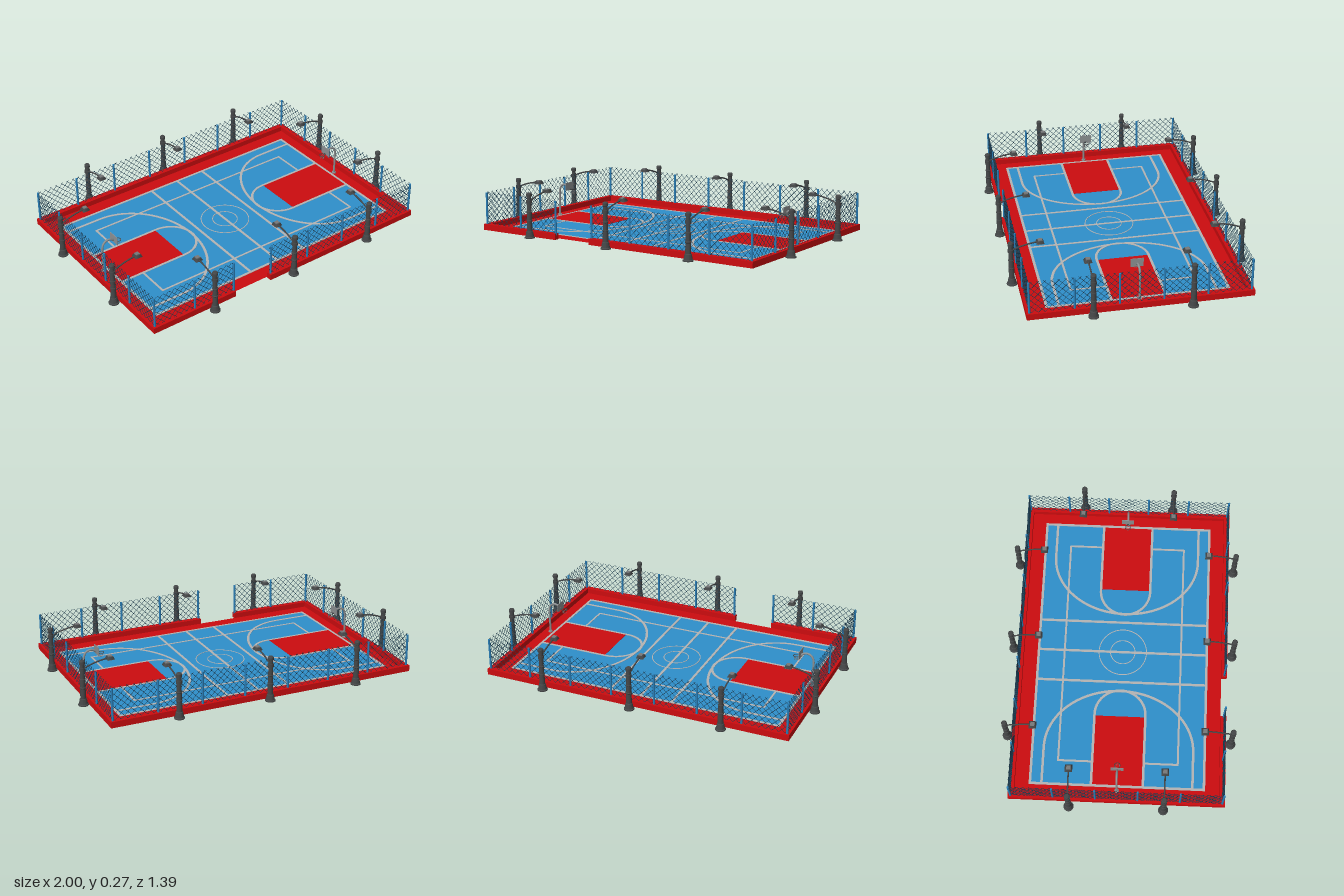
import * as THREE from 'three';
import { mergeGeometries } from 'three/addons/utils/BufferGeometryUtils.js';

const mat = (color) => new THREE.MeshStandardMaterial({ color, side: THREE.DoubleSide });
const RED = mat(0xcc0c0f), BLUE = mat(0x2e8fcb), LINE = mat(0xb4b4b4), POST = mat(0x2a7fb8);
const WIRE = mat(0x1d3f55), IRON = mat(0x454748), IRON_LIGHT = mat(0x77797a), STEEL = mat(0x8c9092);

const FLOOR = 0.006, FX = 0.925, FZ = 0.62;   // floor level, fence half sizes
const GATE = [-0.39, -0.145];                 // opening in the front side

function add(parent, name, geo, material, x = 0, y = 0, z = 0) {
  const m = new THREE.Mesh(geo, material);
  m.name = name;
  m.position.set(x, y, z);
  parent.add(m);
  return m;
}

// Straight rod between two points
function rod(a, b, r, sides = 4) {
  const d = b.clone().sub(a);
  const g = new THREE.CylinderGeometry(r, r, d.length(), sides, 1, true);
  g.applyQuaternion(new THREE.Quaternion().setFromUnitVectors(new THREE.Vector3(0, 1, 0), d.normalize()));
  return g.translate((a.x + b.x) / 2, (a.y + b.y) / 2, (a.z + b.z) / 2);
}

// Flat painted strip along [x, z] points, showing on both sides of the floor
function strip(pts, width) {
  const left = [], right = [];
  pts.forEach((p, i) => {
    const a = pts[Math.max(i - 1, 0)], b = pts[Math.min(i + 1, pts.length - 1)];
    const l = Math.hypot(b[0] - a[0], b[1] - a[1]);
    const nx = -(b[1] - a[1]) / l * width / 2, ny = (b[0] - a[0]) / l * width / 2;
    left.push(new THREE.Vector2(p[0] + nx, p[1] + ny));
    right.unshift(new THREE.Vector2(p[0] - nx, p[1] - ny));
  });
  const g = new THREE.ExtrudeGeometry(new THREE.Shape([...left, ...right]), { depth: 0.004, bevelEnabled: false });
  return g.rotateX(-Math.PI / 2).translate(0, FLOOR - 0.002, 0);
}

function arc(cx, rx, rz, from, to, n = 40) {
  return Array.from({ length: n + 1 }, (_, i) => {
    const t = from + (to - from) * i / n;
    return [cx + rx * Math.cos(t), rz * Math.sin(t)];
  });
}

function createCourt() {
  const court = new THREE.Group();
  court.name = 'court';
  // Red margin around the blue playing field
  const rect = (C, x, z) => new C([[-x, -z], [x, -z], [x, z], [-x, z]].map(p => new THREE.Vector2(...p)));
  const margin = rect(THREE.Shape, 0.912, 0.603);
  margin.holes.push(rect(THREE.Path, 0.84, 0.512));
  add(court, 'courtMargin', new THREE.ShapeGeometry(margin).rotateX(-Math.PI / 2), RED, 0, FLOOR);
  add(court, 'playingField', new THREE.PlaneGeometry(1.68, 1.024).rotateX(-Math.PI / 2), BLUE, 0, FLOOR);

  const lines = [];
  const w = 0.015, H = Math.PI / 2;
  for (const s of [-1, 1]) {
    add(court, 'keyArea', new THREE.BoxGeometry(0.43, 0.0028, 0.295), RED, s * 0.625, FLOOR);
    // Border, side service lines and inner rectangle
    lines.push(strip([[s * 0.84, -0.52], [s * 0.84, 0.52]], w), strip([[-0.84, s * 0.513], [0.84, s * 0.513]], w));
    lines.push(strip([[s * 0.193, -0.513], [s * 0.193, 0.513]], w));
    lines.push(strip([[-0.7, s * 0.355], [0.7, s * 0.355]], 0.012));
    for (const e of [-1, 1]) lines.push(strip([[s * 0.695, e * 0.147], [s * 0.695, e * 0.355]], 0.012));
    // Key outline and long range arc
    for (const [cx, rx, rz] of [[0.4, 0.153, 0.153], [0.615, 0.365, 0.445]]) {
      const pts = [[0.84, rz], ...arc(cx, -rx, rz, H, -H), [0.84, -rz]];
      lines.push(strip(pts.map(p => [s * p[0], p[1]]), w));
    }
  }
  lines.push(strip([[0, -0.513], [0, 0.513]], w));
  for (const r of [0.075, 0.145]) lines.push(strip(arc(0, r, r, 0, 4 * H, 64), 0.005));
  add(court, 'courtLines', mergeGeometries(lines), LINE);
  return court;
}

function createFence() {
  const fence = new THREE.Group();
  fence.name = 'fence';
  // Low curb under the fence, open at the gate
  const curb = (x0, x1, z0, z1) =>
    add(fence, 'curb', new THREE.BoxGeometry(x1 - x0, 0.036, z1 - z0), RED, (x0 + x1) / 2, 0.02, (z0 + z1) / 2);
  curb(-0.94, 0.94, -0.636, -0.602);
  curb(-0.94, GATE[0], 0.602, 0.636);
  curb(GATE[1], 0.94, 0.602, 0.636);
  curb(-0.94, -0.91, -0.602, 0.602);
  curb(0.91, 0.94, -0.602, 0.602);

  // Diagonal wire mesh, clipped to each run of fence
  const wires = [], y0 = 0.036, h = 0.198, step = 0.038;
  const runs = [[-FX, -FZ, FX, -FZ], [-FX, -FZ, -FX, FZ], [FX, -FZ, FX, FZ],
    [-FX, FZ, GATE[0], FZ], [GATE[1], FZ, FX, FZ]];
  for (const [ax, az, bx, bz] of runs) {
    const L = Math.hypot(bx - ax, bz - az);
    const at = (u, v) => new THREE.Vector3(ax + (bx - ax) * u / L, y0 + v, az + (bz - az) * u / L);
    for (let u = -h + step / 2; u < L; u += step) {
      const a = Math.max(u, 0), b = Math.min(u + h, L);
      if (b - a < 0.003) continue;
      wires.push(rod(at(a, a - u), at(b, b - u), 0.0013));
      wires.push(rod(at(L - a, a - u), at(L - b, b - u), 0.0013));
    }
  }
  add(fence, 'wireMesh', mergeGeometries(wires), WIRE);

  // Posts
  const postGeo = new THREE.CylinderGeometry(0.0065, 0.0065, 0.2, 10);
  const post = (x, z) => add(fence, 'fencePost', postGeo, POST, x, 0.128, z);
  for (const x of [-FX, -0.66, -0.395, -0.134, 0.134, 0.395, 0.66, FX]) for (const z of [-FZ, FZ]) post(x, z);
  for (const z of [-0.372, -0.124, 0.124, 0.372]) for (const x of [-FX, FX]) post(x, z);
  return fence;
}

// Lamp with its arm reaching toward local +x
function createLamp() {
  const lamp = new THREE.Group();
  lamp.name = 'floodLamp';
  const profile = [[0, 0], [0.03, 0], [0.03, 0.006], [0.025, 0.01], [0.02, 0.038], [0.0165, 0.042], [0.0155, 0.1],
    [0.0175, 0.102], [0.0175, 0.108], [0.0145, 0.11], [0.0145, 0.15], [0.0165, 0.152], [0.0165, 0.157],
    [0.0135, 0.159], [0.013, 0.245], [0.0165, 0.247], [0.0165, 0.262], [0.012, 0.268], [0, 0.268]];
  const pole = new THREE.LatheGeometry(profile.map(p => new THREE.Vector2(...p)), 16).toNonIndexed();
  pole.computeVertexNormals();
  add(lamp, 'lampPole', pole, IRON);
  const curve = new THREE.QuadraticBezierCurve3(new THREE.Vector3(0.005, 0.215, 0),
    new THREE.Vector3(0.06, 0.245, 0), new THREE.Vector3(0.15, 0.256, 0));
  add(lamp, 'lampArm', new THREE.TubeGeometry(curve, 12, 0.0045, 8), IRON);
  const collar = new THREE.CylinderGeometry(0.0175, 0.0175, 0.018, 16);
  add(lamp, 'armCollar', collar, IRON, 0, 0.215, 0);
  const head = new THREE.CylinderGeometry(0.022, 0.031, 0.015, 4).rotateY(Math.PI / 4);
  add(lamp, 'lampHead', head, IRON, 0.165, 0.257, 0);
  add(lamp, 'lampHeadCap', new THREE.BoxGeometry(0.024, 0.006, 0.024), IRON_LIGHT, 0.165, 0.267, 0);
  add(lamp, 'lampGlass', new THREE.BoxGeometry(0.036, 0.004, 0.036), IRON_LIGHT, 0.165, 0.248, 0);
  return lamp;
}

// Hoop stand facing local +x, with its foot at the origin
function createHoop() {
  const hoop = new THREE.Group();
  hoop.name = 'hoopStand';
  const path = new THREE.CurvePath();
  const v = (x, y) => new THREE.Vector3(x, y, 0);
  path.add(new THREE.LineCurve3(v(0, FLOOR), v(0, 0.15)));
  path.add(new THREE.CubicBezierCurve3(v(0, 0.15), v(0, 0.215), v(0.055, 0.215), v(0.078, 0.188)));
  add(hoop, 'hoopPole', new THREE.TubeGeometry(path, 40, 0.0065, 10), STEEL);
  add(hoop, 'hoopFoot', new THREE.CylinderGeometry(0.012, 0.014, 0.008, 12), STEEL, 0, 0.01, 0);
  add(hoop, 'backboard', new THREE.BoxGeometry(0.004, 0.05, 0.074), STEEL, 0.08, 0.198, 0);
  add(hoop, 'hoopBracket', new THREE.BoxGeometry(0.01, 0.004, 0.012), IRON, 0.086, 0.179, 0);
  add(hoop, 'hoopRing', new THREE.TorusGeometry(0.017, 0.0018, 8, 24).rotateX(Math.PI / 2), IRON, 0.106, 0.179, 0);
  // Crossed net strands
  const strands = [];
  for (let i = 0; i < 8; i++) for (const s of [-1, 1]) {
    const a = i * Math.PI / 4, b = a + s * Math.PI / 4;
    strands.push(rod(new THREE.Vector3(Math.cos(a) * 0.017, 0, Math.sin(a) * 0.017),
      new THREE.Vector3(Math.cos(b) * 0.01, -0.026, Math.sin(b) * 0.01), 0.0006, 3));
  }
  add(hoop, 'net', mergeGeometries(strands), STEEL, 0.106, 0.179, 0);
  return hoop;
}

export function createModel() {
  const model = new THREE.Group();
  model.name = 'sportsCourt';
  model.add(createCourt(), createFence());
  const place = (part, x, z, turn) => {
    part.position.set(x, 0, z);
    part.rotation.y = turn;
    model.add(part);
  };
  for (const s of [-1, 1]) {
    const turn = s > 0 ? Math.PI : 0;
    for (const x of [-0.555, 0, 0.555]) place(createLamp(), x, s * 0.665, s * Math.PI / 2);
    for (const z of [-0.277, 0.277]) place(createLamp(), s * 0.97, z, turn);
    place(createHoop(), s * 0.865, 0, turn);
  }
  return model;
}
